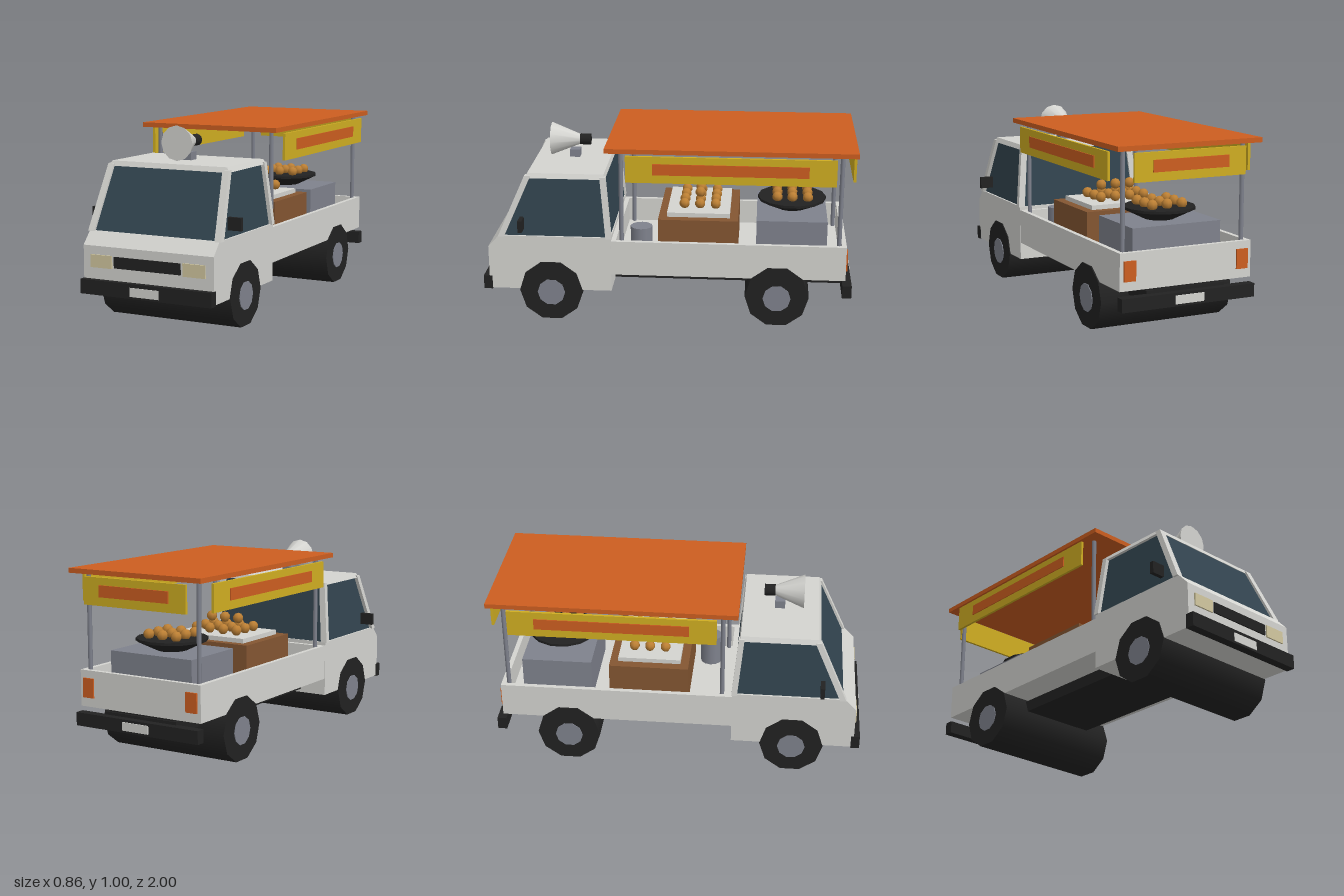
import * as THREE from 'three';

const mat = (name, color) => {
  const m = new THREE.MeshStandardMaterial({ color });
  m.name = name;
  return m;
};

export function createModel() {
  const white = mat('white paint', 0xd4d4d0);
  const black = mat('black rubber', 0x222222);
  const glass = mat('dark glass', 0x32444f);
  const orange = mat('orange', 0xcd5e20);
  const yellow = mat('yellow', 0xd0ae22);
  const grey = mat('grey metal', 0x7f828d);
  const brown = mat('brown wood', 0x845632);
  const golden = mat('golden food', 0xbd8034);
  const cream = mat('cream lamp', 0xd2c8a0);

  const model = new THREE.Group();
  model.name = 'foodTruck';

  const add = (name, geo, material, x = 0, y = 0, z = 0) => {
    const m = new THREE.Mesh(geo, material);
    m.name = name;
    m.position.set(x, y, z);
    model.add(m);
    return m;
  };
  // Box given by its limits on each axis
  const box = (name, material, x0, x1, y0, y1, z0, z1) =>
    add(name, new THREE.BoxGeometry(x1 - x0, y1 - y0, z1 - z0), material,
      (x0 + x1) / 2, (y0 + y1) / 2, (z0 + z1) / 2);
  // Prism between a bottom and a top rectangle, each [x0, x1, z0, z1]
  const prism = (name, material, b, y0, t, y1) => {
    const g = new THREE.BoxGeometry(1, 1, 1);
    const p = g.attributes.position;
    for (let i = 0; i < p.count; i++) {
      const up = p.getY(i) > 0, r = up ? t : b;
      p.setXYZ(i, r[p.getX(i) > 0 ? 1 : 0], up ? y1 : y0, r[p.getZ(i) > 0 ? 3 : 2]);
    }
    g.computeVertexNormals();
    return add(name, g, material);
  };
  const flip = ([x0, x1, z0, z1]) => [-x1, -x0, z0, z1];

  // Lower cab: side profile (z, y) extruded across the width
  const profile = new THREE.Shape([[0.3, 0.17], [0.965, 0.17], [0.965, 0.41], [0.905, 0.475], [0.3, 0.475]]
    .map(([z, y]) => new THREE.Vector2(z, y)));
  const cab = new THREE.ExtrudeGeometry(profile, { depth: 0.744, bevelEnabled: false });
  cab.rotateY(-Math.PI / 2).translate(0.372, 0, 0);
  add('lowerCab', cab, white);

  // Upper cab: glass block, corner pillars and roof
  prism('cabGlass', glass, [-0.362, 0.362, 0.305, 0.895], 0.47, [-0.328, 0.328, 0.34, 0.75], 0.8);
  const pillars = [
    ['frontPillar', [0.345, 0.382, 0.875, 0.908], [0.313, 0.348, 0.727, 0.76]],
    ['rearPillar', [0.345, 0.382, 0.297, 0.327], [0.313, 0.348, 0.328, 0.358]],
  ];
  for (const [name, b, t] of pillars) {
    prism(name + 'Left', white, b, 0.472, t, 0.805);
    prism(name + 'Right', white, flip(b), 0.472, flip(t), 0.805);
  }
  prism('cabRoof', white, [-0.345, 0.345, 0.33, 0.757], 0.792, [-0.333, 0.333, 0.337, 0.745], 0.818);

  // Front and rear fittings
  box('frontBumper', black, -0.375, 0.375, 0.165, 0.24, 0.95, 0.997);
  box('frontPlate', white, -0.082, 0.082, 0.176, 0.222, 0.995, 1.0);
  box('grille', black, -0.19, 0.19, 0.305, 0.363, 0.964, 0.972);
  box('rearBumper', black, -0.375, 0.375, 0.168, 0.237, -0.99, -0.94);
  box('rearPlate', white, -0.08, 0.08, 0.18, 0.224, -0.995, -0.988);

  // Load bed: floor, walls and chassis
  box('bedFloor', white, -0.37, 0.37, 0.265, 0.32, -0.955, 0.3);
  box('headboard', white, -0.37, 0.37, 0.32, 0.455, 0.275, 0.3);
  box('tailgate', white, -0.37, 0.37, 0.32, 0.455, -0.955, -0.93);
  box('chassis', black, -0.22, 0.22, 0.19, 0.253, -0.95, 0.295);
  box('chassisTop', black, -0.2, 0.2, 0.25, 0.27, -0.94, 0.295);

  // Canopy with a rear sign
  box('canopy', orange, -0.4, 0.4, 0.955, 0.98, -0.995, 0.325);
  box('rearSign', yellow, -0.31, 0.31, 0.8, 0.943, -0.99, -0.976);
  box('rearSignStripe', orange, -0.21, 0.21, 0.845, 0.905, -0.998, -0.989);

  // Parts mirrored on both sides
  for (const s of [1, -1]) {
    const side = s > 0 ? 'Left' : 'Right';
    const pair = (name, material, x0, x1, ...rest) =>
      box(name + side, material, Math.min(s * x0, s * x1), Math.max(s * x0, s * x1), ...rest);
    pair('headlight', cream, 0.203, 0.328, 0.3, 0.366, 0.964, 0.973);
    pair('tailLight', orange, 0.285, 0.35, 0.313, 0.415, -0.964, -0.954);
    pair('mirror', black, 0.355, 0.431, 0.513, 0.578, 0.768, 0.79);
    pair('bedWall', white, 0.345, 0.37, 0.32, 0.455, -0.93, 0.275);
    pair('sideSign', yellow, 0.388, 0.402, 0.8, 0.943, -0.885, 0.215);
    pair('sideSignStripe', orange, 0.401, 0.407, 0.845, 0.905, -0.742, 0.072);
    for (const z of [0.245, -0.915])
      add('canopyPost' + side, new THREE.CylinderGeometry(0.012, 0.012, 0.636, 8), grey, s * 0.336, 0.638, z);
    for (const z of [0.628, -0.592]) {
      const hub = add('wheelHub' + side, new THREE.CylinderGeometry(0.075, 0.075, 0.01, 10), grey, s * 0.376, 0.155, z);
      hub.rotation.z = Math.PI / 2;
    }
  }

  // Full-width wheel rollers
  for (const z of [0.628, -0.592]) {
    const tyre = new THREE.CylinderGeometry(0.172, 0.172, 0.754, 10);
    tyre.rotateZ(Math.PI / 2);
    add('wheel', tyre, black, 0, 0.164, z);
  }

  // Loudspeaker on the cab roof
  box('speakerMount', grey, -0.028, 0.028, 0.815, 0.86, 0.505, 0.56);
  const horn = add('speakerHorn', new THREE.CylinderGeometry(0.091, 0.026, 0.16, 12), white, 0, 0.914, 0.58);
  horn.rotation.set(Math.PI / 2, Math.PI / 2, 0, 'XYZ');
  const driver = add('speakerDriver', new THREE.CylinderGeometry(0.031, 0.031, 0.058, 12), black, 0, 0.914, 0.475);
  driver.rotation.x = Math.PI / 2;

  // Serving counter with tray, stove with pan, and a gas canister
  box('counter', brown, -0.27, 0.27, 0.32, 0.55, -0.375, 0.055);
  box('tray', white, -0.22, 0.22, 0.55, 0.574, -0.33, 0.01);
  box('stove', grey, -0.25, 0.25, 0.32, 0.55, -0.855, -0.475);
  add('canister', new THREE.CylinderGeometry(0.06, 0.06, 0.17, 12), grey, 0.2, 0.403, 0.15);
  add('pan', new THREE.CylinderGeometry(0.187, 0.08, 0.052, 14), black, 0, 0.576, -0.665);
  add('panRim', new THREE.CylinderGeometry(0.187, 0.187, 0.014, 14), black, 0, 0.608, -0.665);

  // Round snacks on the tray and in the pan
  const ball = new THREE.SphereGeometry(0.029, 7, 5);
  for (const z of [-0.08, -0.165, -0.25])
    for (const x of [-0.128, -0.043, 0.043, 0.128]) add('snack', ball, golden, x, 0.6, z);
  for (const x of [-0.085, 0, 0.085]) {
    add('topSnack', ball, golden, x, 0.652, -0.165);
    for (const z of [-0.585, -0.667, -0.75]) add('panSnack', ball, golden, x, 0.635, z);
  }
  return model;
}
